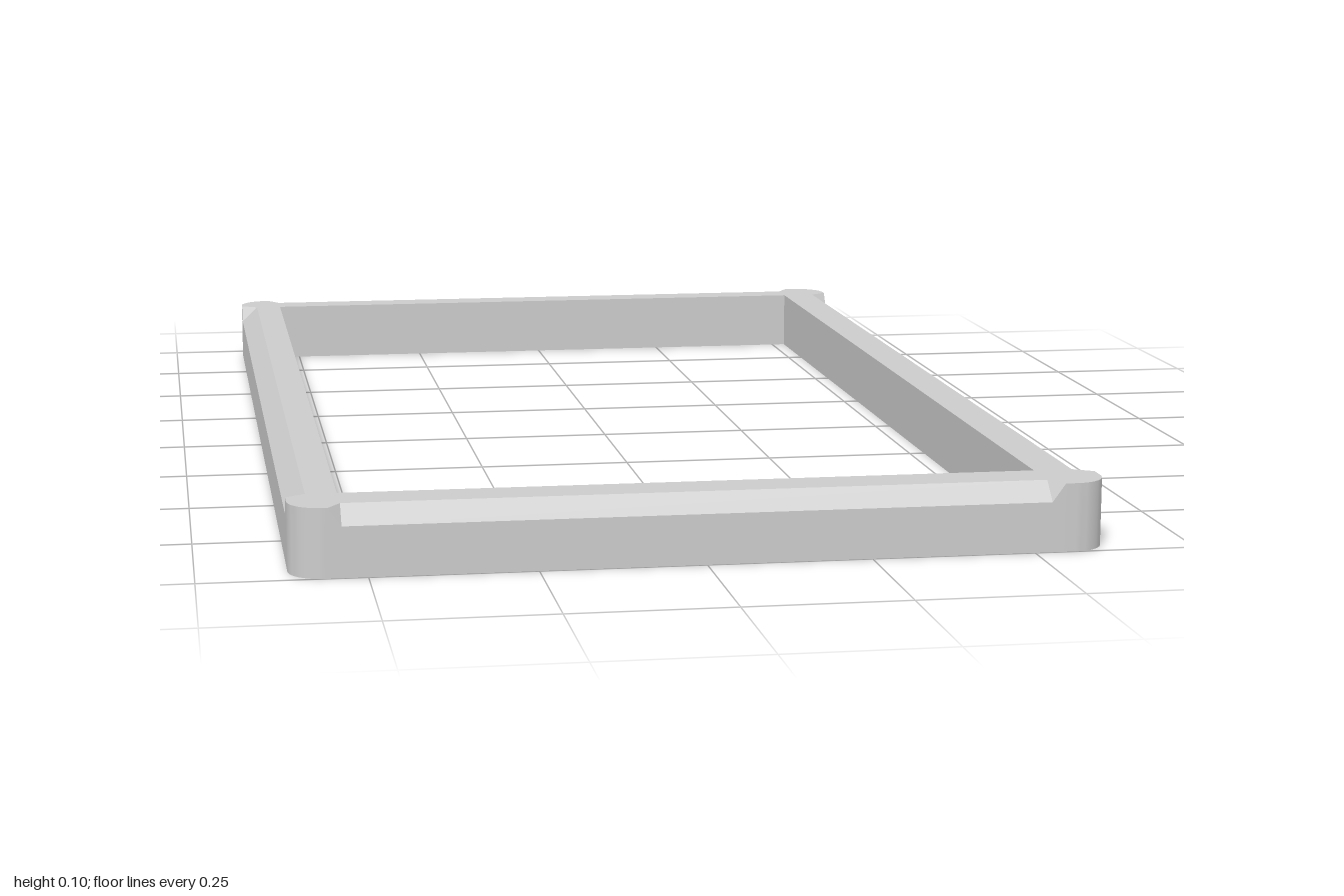
import * as THREE from 'three';
import { toCreasedNormals } from 'three/addons/utils/BufferGeometryUtils.js';

const HALF_X = 0.615, HALF_Z = 1;        // outer size
const HEIGHT = 0.105, CHAMFER_Y = 0.077; // top and lower edge of the chamfer
const CHAMFER = 0.03, FLARE = 0.02;      // chamfer inset and slant of its ends
const RADIUS = 0.052, ARC_STEPS = 10;    // rounded corners
const INNER = { right: 0.525, left: -0.538, front: 0.9, back: -0.915 };

// One cross-section of the frame: inner bottom, outer bottom, outer mid, outer top, inner top
function section(inner, outer, top, flip = false) {
  const at = (p, y) => new THREE.Vector3(p.x, y, p.y);
  return {
    flip,
    points: [at(inner, 0), at(outer, 0), at(outer, CHAMFER_Y), at(top, HEIGHT), at(inner, HEIGHT)],
  };
}

// Cross-sections around one corner, from the end of one chamfer to the start of the next
function cornerSections(k) {
  const dir = (q) => [new THREE.Vector2(0, 1), new THREE.Vector2(1, 0),
    new THREE.Vector2(0, -1), new THREE.Vector2(-1, 0)][q % 4];
  const n = dir(k), m = dir(k + 1);
  const sum = n.clone().add(m);
  const inner = new THREE.Vector2(sum.x > 0 ? INNER.right : INNER.left, sum.y > 0 ? INNER.front : INNER.back);
  const outer = new THREE.Vector2(sum.x * HALF_X, sum.y * HALF_Z);
  const point = (a, b) => n.clone().multiplyScalar(a).addScaledVector(m, b);
  const [inN, inM, outN, outM] = [inner.dot(n), inner.dot(m), outer.dot(n), outer.dot(m)];

  const list = [section(inner, point(outN, inM), point(outN - CHAMFER, inM))];
  const plain = (p, flip) => list.push(section(inner, p, p, flip));
  plain(point(outN, inM + FLARE));
  for (let i = 0; i <= ARC_STEPS; i++) {
    const t = (i / ARC_STEPS) * Math.PI / 2;
    plain(point(outN - RADIUS + RADIUS * Math.cos(t), outM - RADIUS + RADIUS * Math.sin(t)));
  }
  plain(point(inN + FLARE, outM), true);
  list.push(section(inner, point(inN, outM), point(inN, outM - CHAMFER)));
  return list;
}

// Skin the closed loop of cross-sections
function frameGeometry() {
  const sections = [0, 1, 2, 3].flatMap(cornerSections);
  const positions = [];
  const triangle = (a, b, c) => {
    const area = b.clone().sub(a).cross(c.clone().sub(a)).length();
    if (area > 1e-8) for (const p of [a, b, c]) positions.push(p.x, p.y, p.z);
  };
  sections.forEach((s, i) => {
    const next = sections[(i + 1) % sections.length];
    for (let p = 0; p < 5; p++) {
      const q = (p + 1) % 5;
      const [a, b, c, d] = [s.points[p], next.points[p], next.points[q], s.points[q]];
      if (s.flip) {
        triangle(a, b, d);
        triangle(b, c, d);
      } else {
        triangle(a, b, c);
        triangle(a, c, d);
      }
    }
  });
  const geometry = new THREE.BufferGeometry();
  geometry.setAttribute('position', new THREE.Float32BufferAttribute(positions, 3));
  return toCreasedNormals(geometry, 0.5);
}

export function createModel() {
  const group = new THREE.Group();
  group.name = 'rectangularFrame';
  const frame = new THREE.Mesh(frameGeometry(), new THREE.MeshStandardMaterial({ color: 0xcccccc }));
  frame.name = 'chamferedFrame';
  group.add(frame);
  return group;
}
